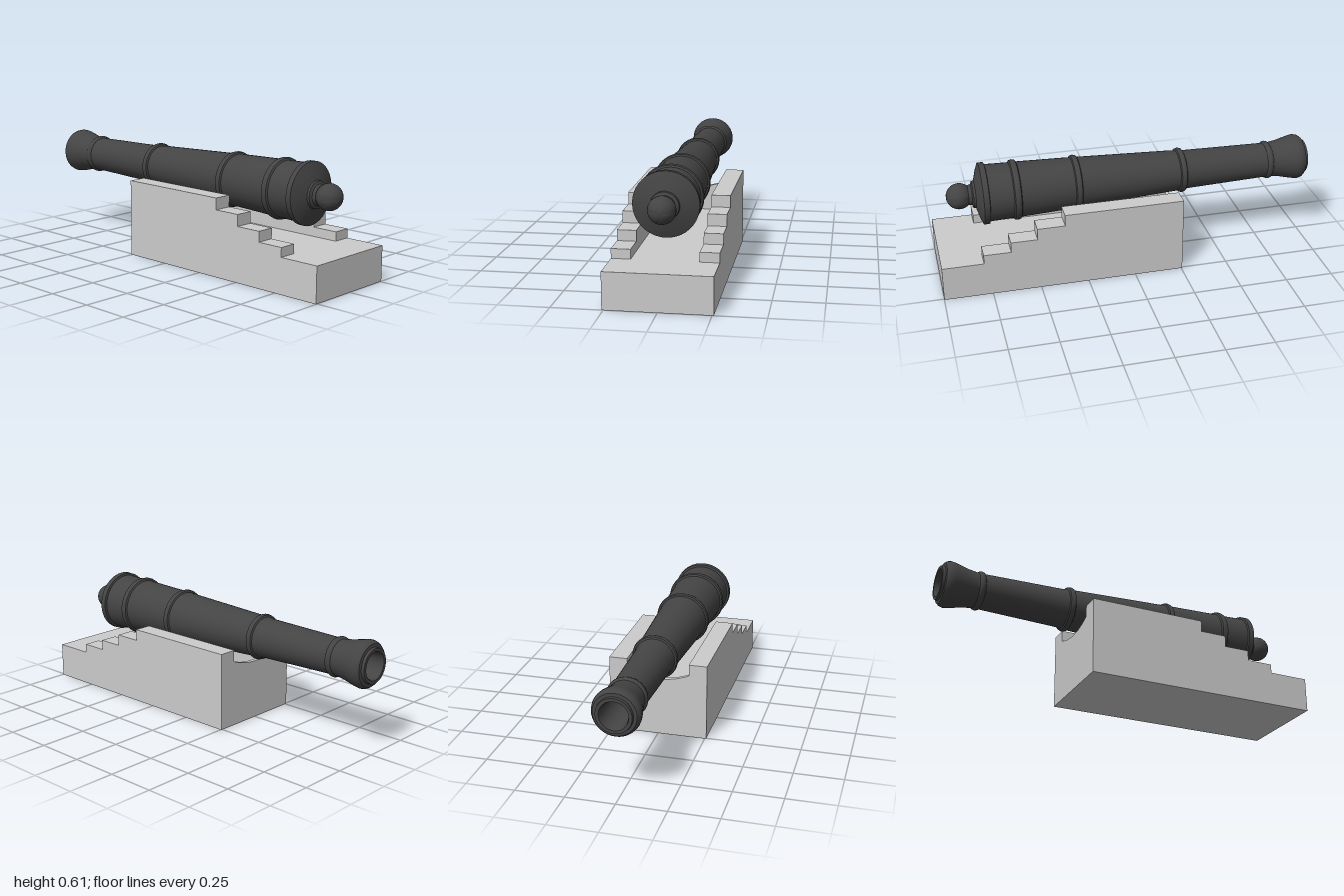
import * as THREE from 'three';
import { toCreasedNormals } from 'three/addons/utils/BufferGeometryUtils.js';

const HALF_W = 0.258, INNER = 0.163, BACK = -0.255, DECK = 0.183;

export function createModel() {
  const group = new THREE.Group();
  const stone = new THREE.MeshStandardMaterial({ color: 0xcccccc });
  const iron = new THREE.MeshStandardMaterial({ color: 0x444444 });
  const add = (name, geometry, material) => {
    const mesh = new THREE.Mesh(geometry, material);
    mesh.name = name;
    group.add(mesh);
    return mesh;
  };

  // Slab that everything rests on
  const slab = new THREE.BoxGeometry(HALF_W * 2, DECK, 1 - BACK);
  slab.translate(0, DECK / 2, (1 + BACK) / 2);
  add('baseSlab', slab, stone);

  // Stepped cheeks: side outline (z, y) extruded across x
  const cheek = new THREE.Shape();
  cheek.moveTo(BACK, DECK);
  let level = DECK;
  for (const [z, y] of [[0.787, 0.231], [0.647, 0.285], [0.51, 0.345], [0.367, 0.405]]) {
    cheek.lineTo(z, level);
    cheek.lineTo(z, y);
    level = y;
  }
  cheek.lineTo(BACK, level);
  cheek.closePath();
  for (const [name, x] of [['leftCheek', HALF_W], ['rightCheek', -INNER]]) {
    const g = new THREE.ExtrudeGeometry(cheek, { depth: HALF_W - INNER, bevelEnabled: false });
    g.rotateY(-Math.PI / 2);
    g.translate(x, 0, 0);
    add(name, g, stone);
  }

  // Thin rear wall with a hollowed top edge under the barrel
  const R = 0.397, cy = 0.31 + R, a = Math.asin(INNER / R);
  const wall = new THREE.Shape();
  wall.moveTo(-INNER, DECK);
  wall.lineTo(INNER, DECK);
  wall.absarc(0, cy, R, -Math.PI / 2 + a, -Math.PI / 2 - a, true);
  wall.closePath();
  const saddle = new THREE.ExtrudeGeometry(wall, { depth: 0.022, bevelEnabled: false, curveSegments: 16 });
  saddle.translate(0, 0, BACK);
  add('rearSaddle', toCreasedNormals(saddle, 0.5), stone);

  // Barrel profile: [radius, z] from the bore floor, round the muzzle, to the breech
  const ring = (z, r, inner, w) => [[inner, z - w], [r - 0.004, z - w * 0.75], [r, z], [r - 0.004, z + w * 0.75], [inner, z + w]];
  const profile = [
    [0, -0.5], [0.066, -0.5], [0.066, -0.985], [0.072, -1], [0.088, -1], [0.09, -0.985],
    [0.106, -0.983], [0.116, -0.97], [0.12, -0.953], [0.118, -0.935], [0.11, -0.9], [0.1, -0.86], [0.094, -0.82],
    ...ring(-0.788, 0.102, 0.092, 0.016),
    [0.092, -0.76], [0.102, -0.335],
    ...ring(-0.303, 0.119, 0.106, 0.018),
    [0.108, -0.27], [0.131, 0.235],
    ...ring(0.262, 0.145, 0.133, 0.018),
    [0.134, 0.29], [0.143, 0.55],
    ...ring(0.58, 0.157, 0.144, 0.02),
    [0.144, 0.61], [0.148, 0.723], [0.159, 0.726], [0.16, 0.755],
    [0.125, 0.769], [0.09, 0.779], [0.071, 0.785], [0.069, 0.797], [0.054, 0.803], [0.051, 0.82],
  ];
  // Round knob closing the breech
  for (let i = 0; i <= 10; i++) {
    const t = 0.72 + (Math.PI - 0.72) * i / 10;
    profile.push([i === 10 ? 0 : 0.067 * Math.sin(t), 0.865 - 0.067 * Math.cos(t)]);
  }
  const lathe = new THREE.LatheGeometry(profile.map(([r, z]) => new THREE.Vector2(r, z)), 40);
  lathe.rotateX(Math.PI / 2);
  const barrel = add('barrel', toCreasedNormals(lathe, 0.7), iron);
  barrel.position.y = 0.4485;
  barrel.rotation.x = 0.0045;

  return group;
}
